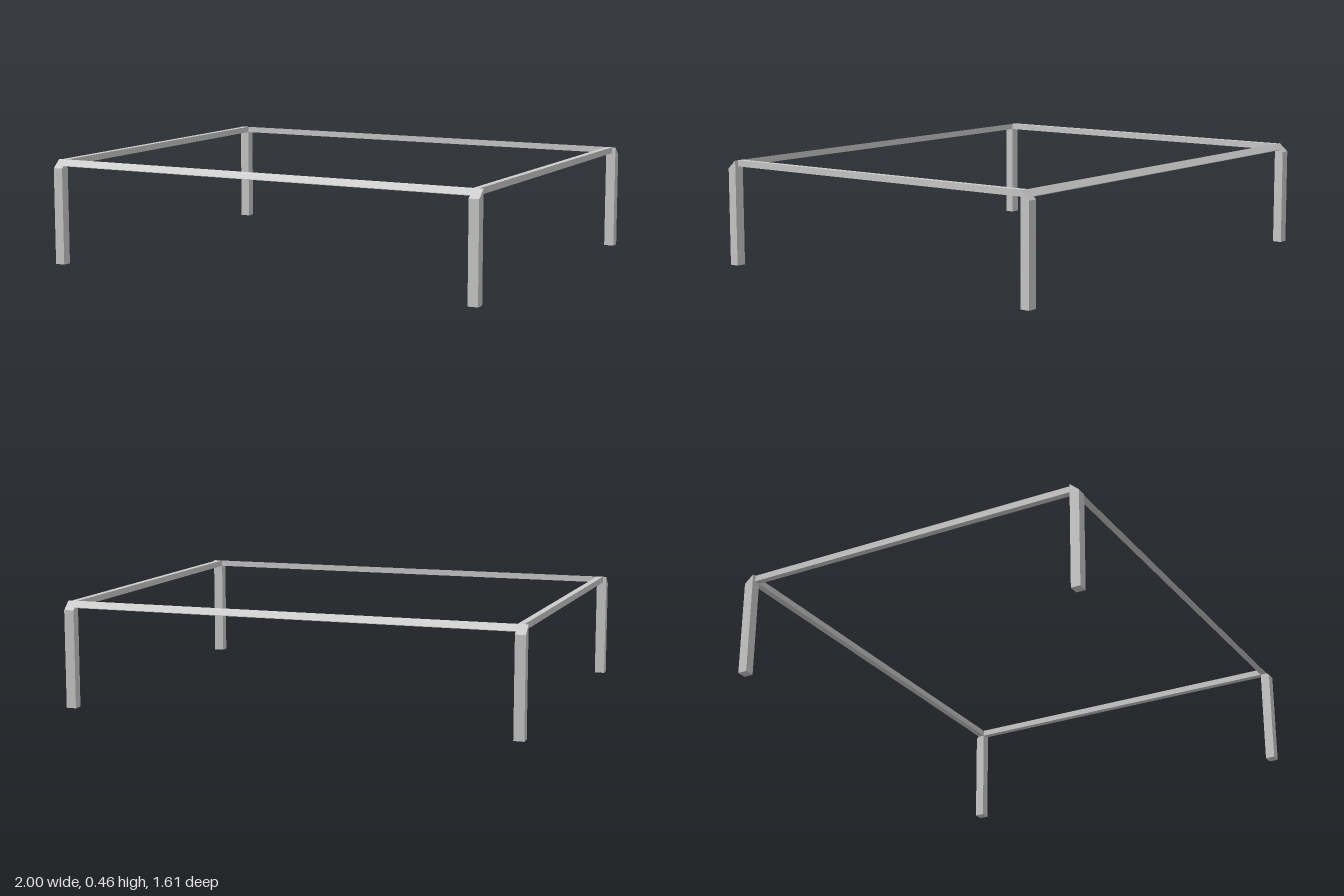
import * as THREE from 'three';

const TOP = 0.457, RAIL_BOTTOM = 0.43;
const LEG_IN_X = 0.956, LEG_IN_Z = 0.765, LEG_OUT_Z = 0.806, SHOULDER = 0.421;
const RAIL = 0.028;
const material = new THREE.MeshStandardMaterial({ color: 0xcccccc, flatShading: true });

// Extrudes a (z, y) profile along x, centred on cx; side = -1 turns it to the back
function prismAlongX(name, profile, length, cx, side) {
  const shape = new THREE.Shape(profile.map(([z, y]) => new THREE.Vector2(-z, y)));
  const geometry = new THREE.ExtrudeGeometry(shape, { depth: length, bevelEnabled: false });
  geometry.translate(0, 0, -length / 2);
  geometry.rotateY(Math.PI / 2);
  if (side < 0) geometry.rotateY(Math.PI);
  const mesh = new THREE.Mesh(geometry, material);
  mesh.name = name;
  mesh.position.x = cx;
  return mesh;
}

export function createModel() {
  const group = new THREE.Group();
  group.name = 'tableFrame';

  // Height of the sloped top at depth z
  const slope = z => TOP + (SHOULDER - TOP) * (z - LEG_IN_Z) / (LEG_OUT_Z - LEG_IN_Z);
  const railOut = LEG_IN_Z + RAIL;

  // Leg with its top cut off at a slope towards the outside
  const legProfile = [[LEG_IN_Z, 0], [LEG_OUT_Z, 0], [LEG_OUT_Z, SHOULDER], [LEG_IN_Z, TOP]];
  // Long rail follows the same slope
  const railProfile = [[LEG_IN_Z, RAIL_BOTTOM], [railOut, RAIL_BOTTOM], [railOut, slope(railOut)], [LEG_IN_Z, TOP]];

  for (const [end, side] of [['front', 1], ['back', -1]]) {
    for (const [hand, sx] of [['Left', 1], ['Right', -1]]) {
      group.add(prismAlongX(`${end}${hand}Leg`, legProfile, 1 - LEG_IN_X, sx * (1 + LEG_IN_X) / 2, side));
    }
    group.add(prismAlongX(`${end}Rail`, railProfile, 2 * LEG_IN_X, 0, side));
  }

  // Square side rails, flush with the inner faces of the legs
  for (const [name, sx] of [['leftRail', 1], ['rightRail', -1]]) {
    const rail = new THREE.Mesh(new THREE.BoxGeometry(RAIL, TOP - RAIL_BOTTOM, 2 * LEG_IN_Z), material);
    rail.name = name;
    rail.position.set(sx * (LEG_IN_X + RAIL / 2), (TOP + RAIL_BOTTOM) / 2, 0);
    group.add(rail);
  }
  return group;
}
